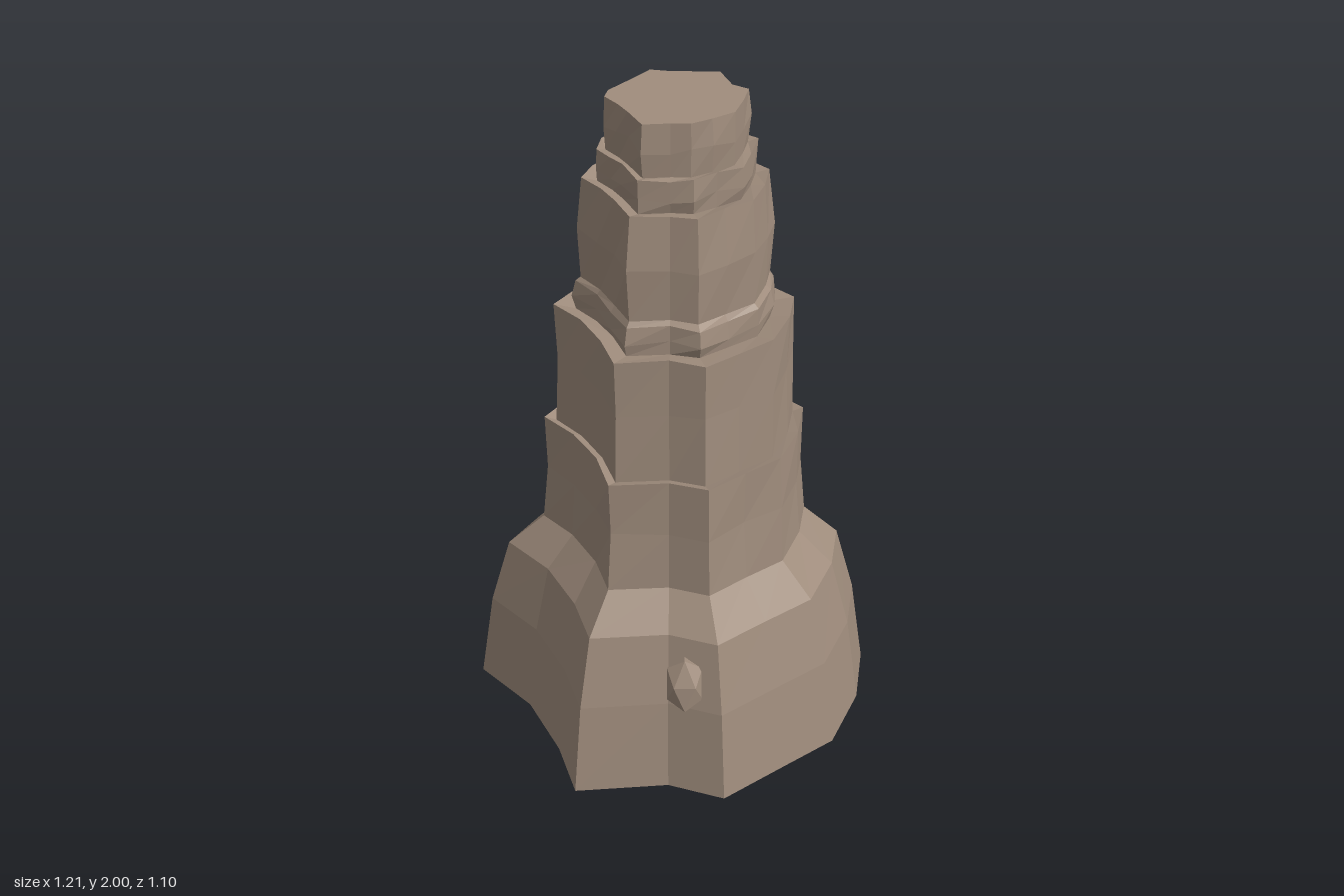
import * as THREE from 'three';

// Matching ring outlines (x, z), counter-clockwise seen from above
const foot = [[.605, -.09], [.44, -.23], [.34, -.42], [.23, -.55], [0, -.525], [-.23, -.517], [-.415, -.48], [-.43, -.25], [-.51, -.04],
  [-.605, .125], [-.40, .31], [-.33, .47], [-.12, .508], [.08, .545], [.29, .47], [.455, .355], [.46, .14]];
const shoulder = [[.385, -.06], [.28, -.16], [.215, -.25], [.145, -.355], [0, -.335], [-.14, -.33], [-.275, -.31], [-.285, -.18], [-.33, -.04],
  [-.40, .08], [-.275, .20], [-.225, .31], [-.09, .33], [.04, .355], [.18, .30], [.285, .23], [.29, .09]];
const summit = [[.18, -.03], [.13, -.085], [.09, -.13], [.06, -.178], [-.02, -.173], [-.11, -.17], [-.145, -.15], [-.155, -.09], [-.17, -.04],
  [-.20, .04], [-.145, .09], [-.11, .13], [-.05, .15], [.02, .167], [.09, .135], [.15, .10], [.14, .05]];
const COUNT = foot.length;

// Ring at height y; stage 0 = foot, 1 = shoulder, 2 = summit
function ring([y, stage, rough = 0]) {
  const [from, to, t] = stage < 1 ? [foot, shoulder, stage] : [shoulder, summit, stage - 1];
  return from.map(([x, z], i) => {
    const k = 1 + rough * Math.sin(i * 2.3 + y * 19);
    return [(x + (to[i][0] - x) * t) * k, y + rough * 0.3 * Math.sin(i * 1.7 + y * 7), (z + (to[i][1] - z) * t) * k];
  });
}

// Wall skinned between successive rings, optionally capped
function wall(levels, capped) {
  const rings = levels.map(ring);
  const pos = [];
  for (let r = 0; r < rings.length - 1; r++) {
    for (let i = 0; i < COUNT; i++) {
      const j = (i + 1) % COUNT;
      const [a, b, c, d] = [rings[r][i], rings[r][j], rings[r + 1][j], rings[r + 1][i]];
      pos.push(...a, ...b, ...c, ...a, ...c, ...d);
    }
  }
  if (capped) {
    const top = rings[rings.length - 1];
    top.forEach((p, i) => pos.push(0, p[1], 0, ...p, ...top[(i + 1) % COUNT]));
  }
  const geometry = new THREE.BufferGeometry();
  geometry.setAttribute('position', new THREE.Float32BufferAttribute(pos, 3));
  geometry.computeVertexNormals();
  return geometry;
}

export function createModel() {
  const model = new THREE.Group();
  model.name = 'rockSpire';
  const stone = new THREE.MeshStandardMaterial({ color: 0xa08d7d, flatShading: true, side: THREE.DoubleSide });
  stone.name = 'brown stone';

  const add = (name, geometry) => {
    const mesh = new THREE.Mesh(geometry, stone);
    mesh.name = name;
    model.add(mesh);
    return mesh;
  };

  // Hollow flared base and stacked tiers, each ending in a ledge
  add('flaredBase', wall([[0, 0], [.29, .2], [.51, .48], [.62, 1]]));
  add('lowerTier', wall([[.615, .98], [.8, 1.05, .015], [.975, 1.06, .006], [.965, 1.22]]));
  add('middleTier', wall([[.965, 1.22], [1.18, 1.25, .012], [1.355, 1.25, .006], [1.345, 1.55]]));
  add('upperTier', wall([[1.345, 1.55], [1.38, 1.52, .025], [1.43, 1.55, .02], [1.445, 1.62, .01], [1.6, 1.6, .02],
    [1.76, 1.67, .01], [1.75, 1.88]]));
  add('neckTier', wall([[1.75, 1.88], [1.79, 1.85, .03], [1.85, 1.86, .02], [1.845, 2]]));
  add('summitBlock', wall([[1.845, 2], [1.92, 1.98, .03], [2, 2]], true));

  // Stones lodged in the base: position, half sizes, turn, lean
  const stones = [
    [.355, .365, -.325, .042, .085, .055, .75, .15],
    [-.35, .375, .33, .04, .095, .06, .75, -.25],
    [.06, .36, -.478, .045, .05, .013, 0, .6],
  ];
  for (const [x, y, z, sx, sy, sz, turn, lean] of stones) {
    const rock = add('lodgedStone', new THREE.IcosahedronGeometry(1, 0));
    rock.position.set(x, y, z);
    rock.scale.set(sx, sy, sz);
    rock.rotation.set(0, turn, lean);
  }
  return model;
}
